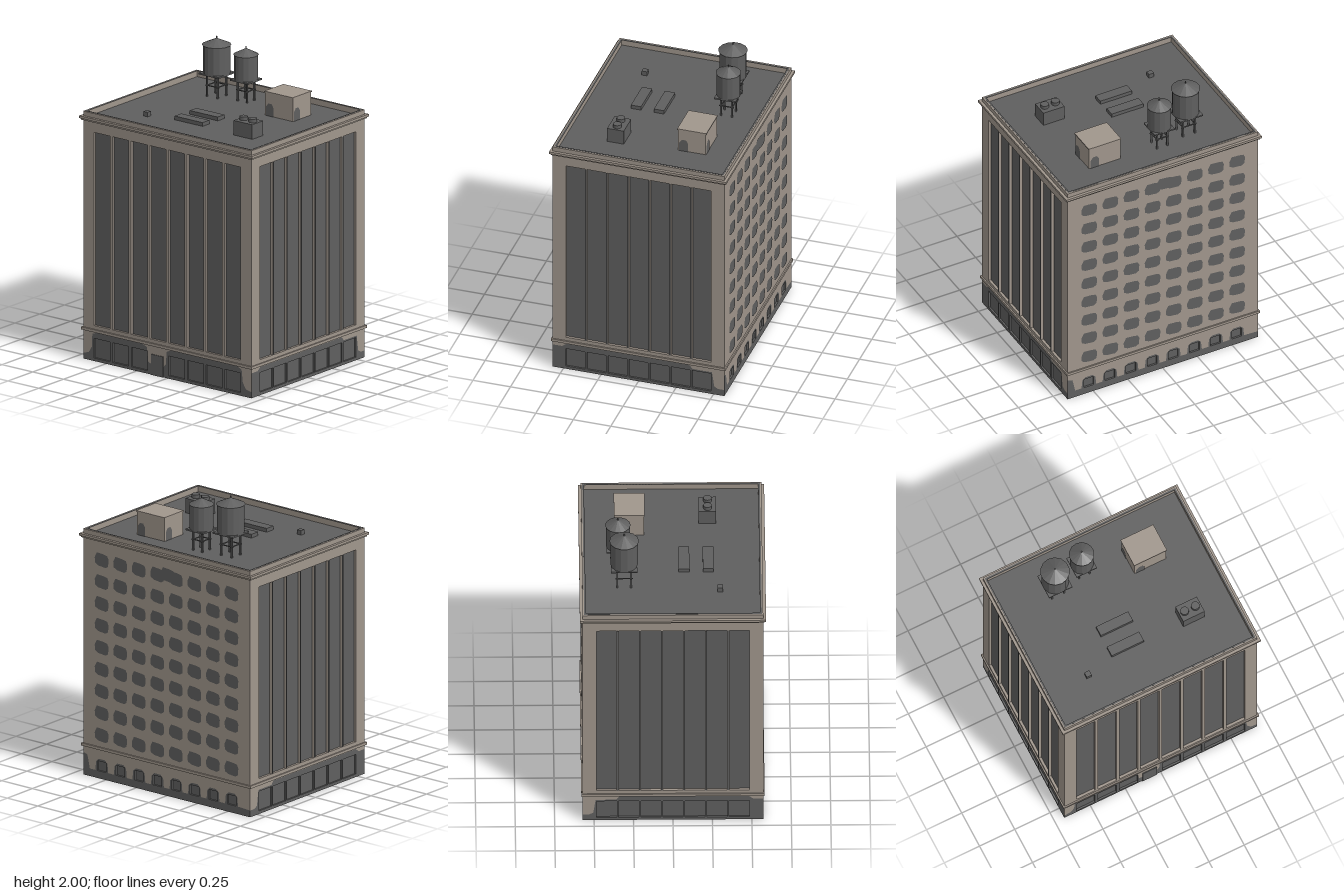
import * as THREE from 'three';

export function createModel() {
  const model = new THREE.Group();
  model.name = 'building';
  const stone = new THREE.MeshStandardMaterial({ name: 'warm stone', color: 0xa0968c, side: THREE.DoubleSide });
  const dark = new THREE.MeshStandardMaterial({ name: 'dark grey', color: 0x5f5f5f, side: THREE.DoubleSide });
  dark.flatShading = true;

  const HX = 0.685, HZ = 0.572, TOP = 1.64, ROOF = 1.603, THICK = 0.02;

  const add = (parent, name, geo, mat, x = 0, y = 0, z = 0) => {
    const m = new THREE.Mesh(geo, mat);
    m.name = name;
    m.position.set(x, y, z);
    parent.add(m);
    return m;
  };
  // box given by its limits
  const block = (parent, name, mat, x0, x1, y0, y1, z0, z1) =>
    add(parent, name, new THREE.BoxGeometry(x1 - x0, y1 - y0, z1 - z0), mat,
      (x0 + x1) / 2, (y0 + y1) / 2, (z0 + z1) / 2);
  const polygon = pts => new THREE.Shape(pts.map(p => new THREE.Vector2(p[0], p[1])));
  const rect = ([x0, x1, y0, y1]) => polygon([[x0, y0], [x1, y0], [x1, y1], [x0, y1]]);
  const slab = (pts, holes) => {
    const s = polygon(pts);
    s.holes = holes.map(rect);
    return new THREE.ExtrudeGeometry(s, { depth: THICK, bevelEnabled: false });
  };
  // evenly spaced openings
  const row = (n, pitch, w, y0, y1) => Array.from({ length: n }, (_, i) => {
    const c = (i - (n - 1) / 2) * pitch;
    return [c - w / 2, c + w / 2, y0, y1];
  });

  // one side: dark base below the edge line, stone wall above, recessed panes behind
  function wall(name, half, dist, turn, edge, baseHoles, upperHoles) {
    const g = new THREE.Group();
    g.name = name;
    g.rotation.y = turn;
    model.add(g);
    add(g, 'baseWall', slab([[-half, 0], [half, 0], ...[...edge].reverse()], baseHoles), dark, 0, 0, dist - THICK);
    add(g, 'upperWall', slab([...edge, [half, TOP], [-half, TOP]], upperHoles), stone, 0, 0, dist - THICK);
    const pane = (label, list, depth) => list.forEach(([x0, x1, y0, y1]) =>
      add(g, label, new THREE.PlaneGeometry(x1 - x0 + 0.004, y1 - y0 + 0.004), dark,
        (x0 + x1) / 2, (y0 + y1) / 2, dist - depth));
    pane('baseWindow', baseHoles, 0.012);
    pane('windowStrip', upperHoles, 0.017);
    return g;
  }

  // front, with the door in the fourth bay
  const hf = HX - 0.001;
  const frontEdge = [[-hf, 0.04], [-0.64, 0.05], [-0.615, 0.09], [-0.61, 0.18], [-0.57, 0.19], [-0.2, 0.19],
    [-0.165, 0.175], [-0.155, 0.08], [-0.13, 0.07], [-0.03, 0.07], [-0.012, 0.09], [-0.005, 0.175], [0.03, 0.19],
    [0.57, 0.19], [0.605, 0.175], [0.615, 0.09], [0.64, 0.05], [hf, 0.04]];
  const front = wall('frontWall', hf, HZ, 0, frontEdge,
    row(8, 0.152, 0.13, 0.02, 0.15).filter((_, i) => i !== 3), row(8, 0.152, 0.132, 0.235, 1.515));
  block(front, 'door', dark, -0.13, -0.03, 0, 0.137, HZ - 0.003, HZ + 0.005);

  // left and right sides, inset a little at the corners, with darkened piers
  const hs = HZ - 0.002;
  const sideEdge = [[-hs, 0.165], [-0.51, 0.165], [-0.48, 0.187], [0.34, 0.187], [0.36, 0.162], [0.49, 0.162],
    [0.505, 0.06], [0.53, 0.045], [hs, 0.045]];
  const sideBase = row(7, 0.14, 0.128, 0.02, 0.15);
  const sideStrips = row(7, 0.14, 0.127, 0.235, 1.515);
  const sides = [
    wall('leftWall', hs, HX, Math.PI / 2, sideEdge, sideBase, sideStrips),
    wall('rightWall', hs, HX, -Math.PI / 2, sideEdge.map(([x, y]) => [-x, y]).reverse(), sideBase, sideStrips)];
  for (const side of sides)
    for (const [x0, x1, y0, y1] of row(6, 0.14, 0.009, 0.235, 1.515))
      block(side, 'darkPierFace', dark, x0, x1, y0, y1, HX - 0.002, HX + 0.002);

  // back, with small base windows and a grid of rounded windows
  const backEdge = [[-hf, 0.15], [-0.65, 0.14], [-0.63, 0.05]];
  const backBase = row(8, 0.152, 0.07, 0.05, 0.115);
  backBase.forEach(([x0, x1]) => backEdge.push([x0 - 0.018, 0.05], [x0 - 0.012, 0.11], [x0 + 0.01, 0.13],
    [x1 - 0.01, 0.13], [x1 + 0.012, 0.11], [x1 + 0.018, 0.05]));
  backEdge.push([hf, 0.045]);
  const back = wall('backWall', hf, HZ, Math.PI, backEdge, backBase, []);
  const pebble = new THREE.ShapeGeometry(polygon([[-0.056, 0.01], [-0.052, -0.026], [-0.027, -0.04], [0.033, -0.046],
    [0.054, -0.033], [0.058, 0.013], [0.047, 0.036], [0.016, 0.042], [-0.038, 0.046]]));
  for (let c = 0; c < 8; c++) for (let r = 0; r < 9; r++)
    add(back, 'backWindow', pebble, dark, (c - 3.5) * 0.152, 0.293 + r * 0.146, HZ + 0.003);
  add(back, 'joinedBackWindow', pebble, dark, 0.01, 1.475, HZ + 0.004);

  // flat rings running round the building
  function ring(name, mat, out, inner, y0, y1) {
    const x = HX + out, z = HZ + out, s = rect([-x, x, -z, z]);
    s.holes.push(rect([-HX + inner, HX - inner, -HZ + inner, HZ - inner]));
    const geo = new THREE.ExtrudeGeometry(s, { depth: y1 - y0, bevelEnabled: false });
    geo.rotateX(-Math.PI / 2);
    add(model, name, geo, mat, 0, y0, 0);
  }
  ring('baseLedge', stone, 0.009, 0.01, 0.193, 0.211);
  ring('cornice', stone, 0.018, 0.01, 1.594, 1.61);
  ring('corniceLowerStep', stone, 0.009, 0.01, 1.583, 1.594);
  ring('parapetInnerRim', dark, -0.009, THICK, TOP - 0.002, TOP + 0.001);

  // roof
  block(model, 'roof', dark, -HX + 0.01, HX - 0.01, ROOF - 0.01, ROOF, -HZ + 0.01, HZ - 0.01);

  // stair house with a thin cap and dark doorways
  block(model, 'stairHouse', stone, 0.192, 0.417, ROOF, 1.755, -0.361, -0.177);
  block(model, 'stairHouseCap', stone, 0.188, 0.421, 1.755, 1.763, -0.366, -0.172);
  const arch = [[-0.03, 0], [0.03, 0], [0.03, 0.06], [0.015, 0.083], [-0.012, 0.083], [-0.03, 0.06]];
  [[0.232, -0.174, 0], [0.42, -0.215, Math.PI / 2], [0.378, -0.364, Math.PI], [0.189, -0.32, -Math.PI / 2]]
    .forEach(([x, z, turn]) => {
      add(model, 'stairHouseDoor', new THREE.ShapeGeometry(polygon(arch)), dark, x, ROOF, z).rotation.y = turn;
    });

  // cooling unit with two fans, skylights and a small vent
  block(model, 'coolingUnit', dark, 0.306, 0.458, ROOF, 1.7, 0.172, 0.283);
  for (const x of [0.343, 0.419])
    add(model, 'coolingFan', new THREE.CylinderGeometry(0.027, 0.027, 0.024, 16), dark, x, 1.711, 0.228);
  for (const z of [0.075, 0.228])
    block(model, 'skylight', dark, -0.191, 0.037, ROOF, ROOF + 0.025, z - 0.034, z + 0.034);
  block(model, 'vent', dark, -0.398, -0.363, ROOF, ROOF + 0.03, 0.286, 0.321);

  // water tanks on braced legs
  function waterTank(x, z, r, rim, bottom, shoulder, peak, leg) {
    const g = new THREE.Group();
    g.name = 'waterTank';
    g.position.set(x, 0, z);
    model.add(g);
    const h = shoulder - bottom, p = r * 0.95, b = leg + 0.012;
    add(g, 'tankBody', new THREE.CylinderGeometry(r, r, h, 14), dark, 0, bottom + h / 2, 0);
    add(g, 'tankRoof', new THREE.ConeGeometry(rim, peak - shoulder, 14), dark, 0, (shoulder + peak) / 2, 0);
    add(g, 'finial', new THREE.CylinderGeometry(0.004, 0.004, 0.025, 6), dark, 0, peak, 0);
    block(g, 'platform', dark, -p, p, bottom - 0.01, bottom, -p, p);
    for (const s of [-1, 1]) {
      for (const t of [-1, 1])
        block(g, 'leg', dark, s * leg - 0.005, s * leg + 0.005, ROOF, bottom, t * leg - 0.005, t * leg + 0.005);
      block(g, 'braceAcross', dark, -b, b, 1.673, 1.679, s * leg - 0.003, s * leg + 0.003);
      block(g, 'braceDeep', dark, s * leg - 0.003, s * leg + 0.003, 1.673, 1.679, -b, b);
    }
  }
  waterTank(-0.307, -0.306, 0.087, 0.094, 1.76, 1.945, 1.988, 0.043);
  waterTank(-0.098, -0.344, 0.076, 0.081, 1.748, 1.91, 1.952, 0.037);

  return model;
}
